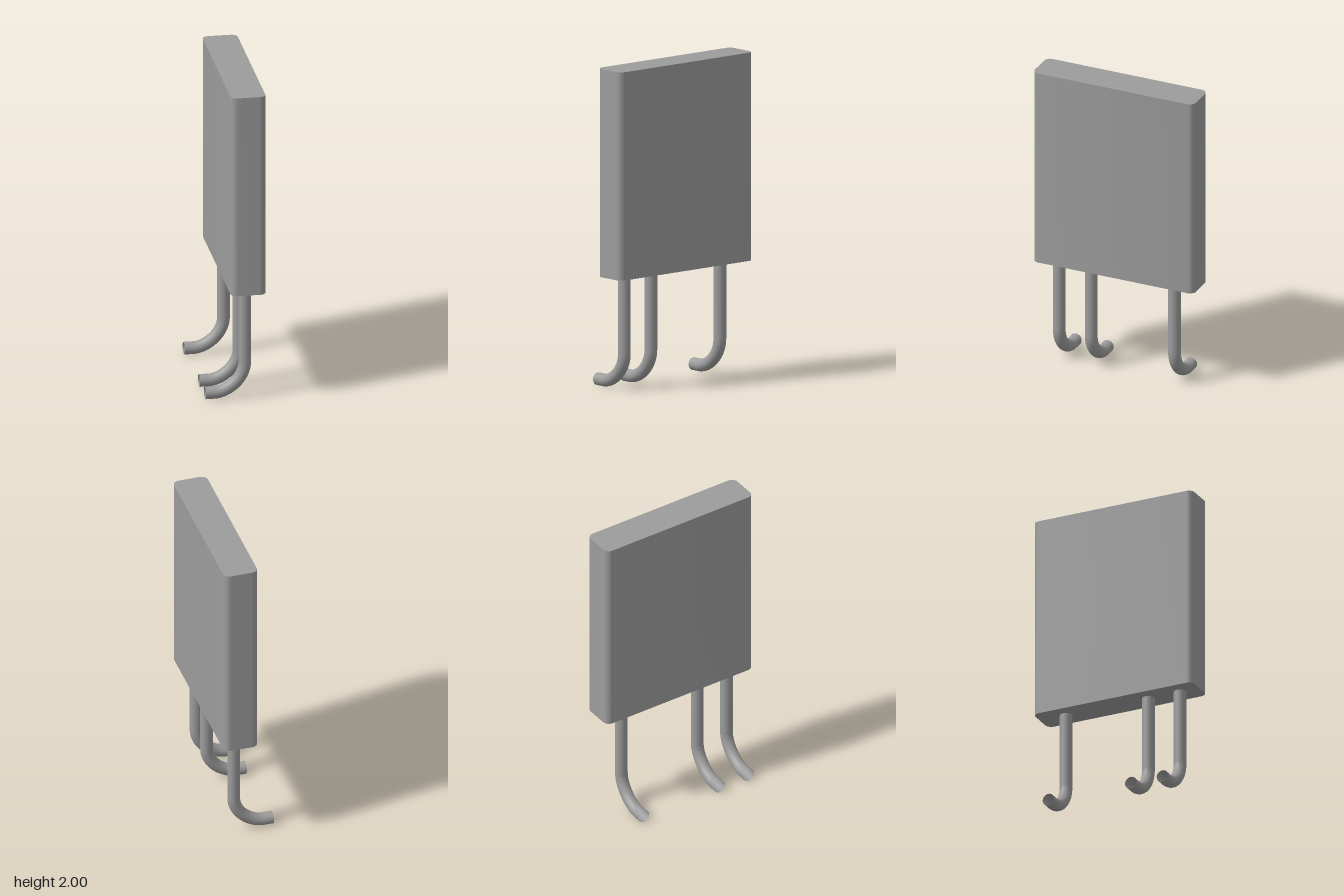
import * as THREE from 'three';
import { toCreasedNormals } from 'three/addons/utils/BufferGeometryUtils.js';

const COLOR = 0x9c9c9c;
const material = new THREE.MeshStandardMaterial({ color: COLOR });
const openMaterial = new THREE.MeshStandardMaterial({ color: COLOR, side: THREE.DoubleSide });

const BOTTOM = 0.708, TOP = 2;

// Flat slab with rounded vertical edges
function createBody() {
  const x0 = -0.037, x1 = 0.179, z = 0.54, r = 0.04;
  const s = new THREE.Shape();
  s.absarc(x1 - r, z - r, r, 0, Math.PI / 2);
  s.absarc(x0 + r, z - r, r, Math.PI / 2, Math.PI);
  s.absarc(x0 + r, -z + r, r, Math.PI, Math.PI * 1.5);
  s.absarc(x1 - r, -z + r, r, Math.PI * 1.5, Math.PI * 2);
  const geo = new THREE.ExtrudeGeometry(s, { depth: TOP - BOTTOM, bevelEnabled: false, curveSegments: 20 });
  geo.rotateX(-Math.PI / 2).translate(0, BOTTOM, 0);
  const body = new THREE.Mesh(toCreasedNormals(geo, Math.PI / 5), material);
  body.name = 'body';
  return body;
}

// Open tube: straight down, then a quarter bend towards -x
function createLeadGeometry() {
  const radius = 0.039, x = 0.067, bend = 0.19, k = bend * 0.4477;
  const v = (px, py) => new THREE.Vector3(px, py, 0);
  const path = new THREE.CurvePath();
  path.add(new THREE.LineCurve3(v(x, BOTTOM), v(x, radius + bend)));
  path.add(new THREE.CubicBezierCurve3(
    v(x, radius + bend), v(x, radius + k), v(x - bend + k, radius), v(x - bend, radius)));
  path.add(new THREE.LineCurve3(v(x - bend, radius), v(-0.179, radius)));
  return new THREE.TubeGeometry(path, 80, radius, 32, false);
}

export function createModel() {
  const model = new THREE.Group();
  model.name = 'component';
  model.add(createBody());

  // Three unevenly spaced leads
  const leadGeometry = createLeadGeometry();
  [0.41, 0.195, -0.364].forEach((z, i) => {
    const lead = new THREE.Mesh(leadGeometry, openMaterial);
    lead.name = `lead${i + 1}`;
    lead.position.z = z;
    model.add(lead);
  });
  return model;
}
